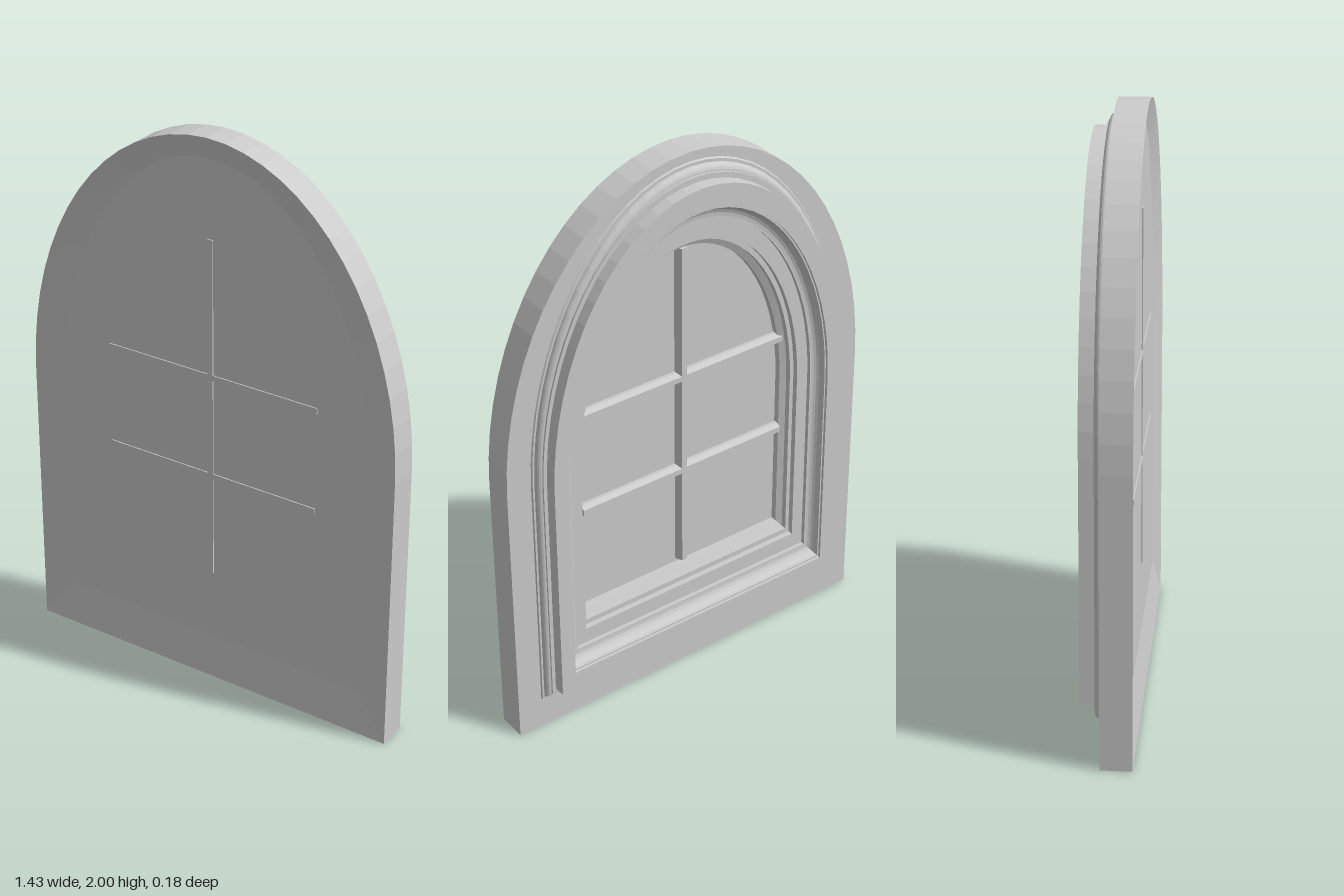
import * as THREE from 'three';

const SPRING = 1.0; // height where the arch begins
const ARCH_STEPS = 32;
const material = new THREE.MeshStandardMaterial({ color: 0xcccccc, flatShading: true });

// Arched outline for a half width; the rings share one spring line
function outline(w, top = 1.65 + 1.48 * (w - 0.41), bottom = 0.39 - 1.28 * (w - 0.41)) {
  const pts = [new THREE.Vector2(w, bottom)];
  for (let i = 0; i <= ARCH_STEPS; i++) {
    const a = (Math.PI * i) / ARCH_STEPS;
    pts.push(new THREE.Vector2(w * Math.cos(a), SPRING + (top - SPRING) * Math.sin(a)));
  }
  pts.push(new THREE.Vector2(-w, bottom));
  return pts;
}

// Sweeps a profile of [halfWidth, z, top?, bottom?] around the arched outline
function sweep(name, profile) {
  const position = [], index = [];
  const n = outline(1).length;
  profile.forEach(([w, z, top, bottom]) => {
    outline(w, top, bottom).forEach((p) => position.push(p.x, p.y, z));
  });
  for (let i = 0; i < profile.length - 1; i++) {
    for (let j = 0; j < n; j++) {
      const k = (j + 1) % n;
      const a = i * n + j, b = a + n, c = (i + 1) * n + k, d = i * n + k;
      index.push(a, b, c, a, c, d);
    }
  }
  const indexed = new THREE.BufferGeometry();
  indexed.setAttribute('position', new THREE.Float32BufferAttribute(position, 3));
  indexed.setIndex(index);
  const geometry = indexed.toNonIndexed();
  geometry.computeVertexNormals();
  const mesh = new THREE.Mesh(geometry, material);
  mesh.name = name;
  return mesh;
}

// Flat arched sheet facing the front or the back
function sheet(name, w, z, facesBack) {
  const geometry = new THREE.ShapeGeometry(new THREE.Shape(outline(w)));
  if (facesBack) geometry.rotateY(Math.PI);
  const mesh = new THREE.Mesh(geometry, material);
  mesh.name = name;
  mesh.position.z = z;
  return mesh;
}

// Glazing bar with a stepped, tapered section, running along y
function glazingBar(name, length) {
  const half = [[0.01, 0.07], [0.01, 0.045], [0.019, 0.042], [0.019, 0.03], [0.01, 0.012]];
  const section = [
    ...half.map(([x, z]) => new THREE.Vector2(x, -z)),
    ...half.map(([x, z]) => new THREE.Vector2(-x, -z)).reverse(),
  ];
  const geometry = new THREE.ExtrudeGeometry(new THREE.Shape(section), { depth: length, bevelEnabled: false });
  geometry.translate(0, 0, -length / 2);
  geometry.rotateX(-Math.PI / 2);
  const mesh = new THREE.Mesh(geometry, material);
  mesh.name = name;
  return mesh;
}

// Points of a quarter curve between two profile corners
function quarter(w0, z0, w1, z1, steps = 5) {
  return Array.from({ length: steps + 1 }, (_, i) => {
    const a = (Math.PI / 2) * (i / steps);
    return [w0 + (w1 - w0) * (1 - Math.cos(a)), z0 + (z1 - z0) * Math.sin(a)];
  });
}

export function createModel() {
  const group = new THREE.Group();
  group.name = 'archedWindow';

  // Wall slab with a shallow dished front
  group.add(sweep('wallSlab', [
    [0.595, 0.066], [0.715, 0.09, 2, 0], [0.715, -0.015, 2, 0], [0.61, -0.015],
  ]));
  group.add(sheet('frontPanel', 0.595, 0.066, false));

  // Rounded moulding around the casing
  group.add(sweep('outerMoulding', [
    [0.625, -0.015], [0.622, -0.02], ...quarter(0.615, -0.02, 0.598, -0.04), [0.598, -0.047], [0.58, -0.047],
  ]));

  // Raised casing with a hollow curve falling to the sash
  group.add(sweep('casing', [
    [0.585, -0.015], [0.585, -0.09], [0.53, -0.09], [0.53, -0.08],
    ...quarter(0.525, -0.08, 0.495, -0.045), [0.49, -0.045], [0.49, -0.03],
  ]));

  // Sash with two steps down to the glass
  group.add(sweep('sash', [
    [0.49, -0.03], [0.445, -0.03], [0.445, -0.01], [0.43, -0.01], [0.43, 0.01], [0.41, 0.022], [0.41, 0.045],
  ]));
  group.add(sheet('glass', 0.412, 0.044, true));

  // One upright and two cross glazing bars
  const upright = glazingBar('uprightBar', 1.24);
  upright.position.y = 1.03;
  group.add(upright);
  for (const y of [0.79, 1.16]) {
    const bar = glazingBar('crossBar', 0.82);
    bar.rotation.z = Math.PI / 2;
    bar.position.y = y;
    group.add(bar);
  }
  return group;
}
